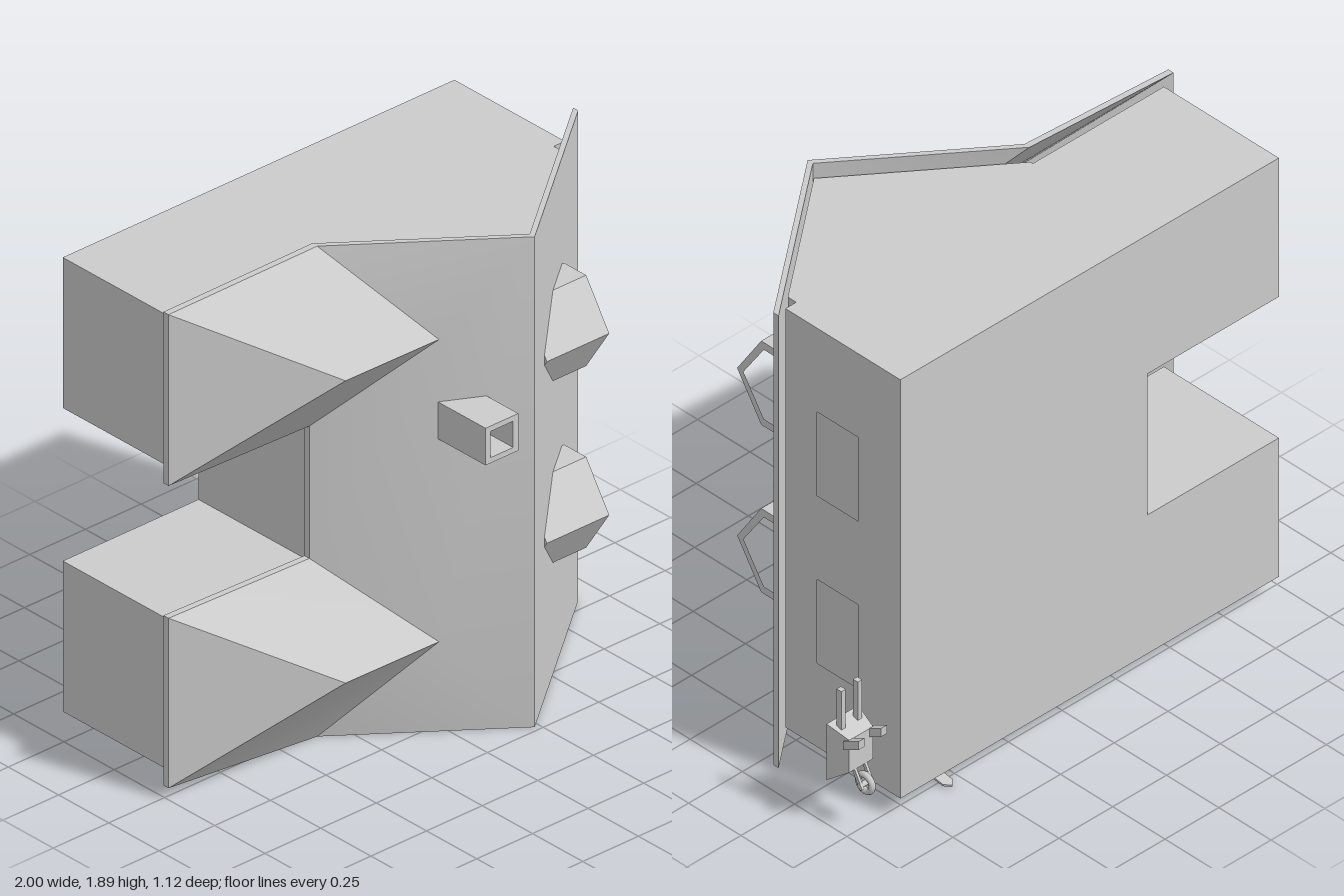
import * as THREE from 'three';
import { toCreasedNormals } from 'three/addons/utils/BufferGeometryUtils.js';

const material = new THREE.MeshStandardMaterial({ color: 0xcccccc });
const openMaterial = new THREE.MeshStandardMaterial({ color: 0xcccccc, side: THREE.DoubleSide });

function part(parent, name, geometry, mat = material) {
  const mesh = new THREE.Mesh(geometry, mat);
  mesh.name = name;
  parent.add(mesh);
  return mesh;
}

function box(x0, x1, y0, y1, z0, z1) {
  return new THREE.BoxGeometry(x1 - x0, y1 - y0, z1 - z0)
    .translate((x0 + x1) / 2, (y0 + y1) / 2, (z0 + z1) / 2);
}

// Extruded outline with holes, depth along +z
function prism(points, depth, holes = []) {
  const toVectors = (list) => list.map(([a, b]) => new THREE.Vector2(a, b));
  const shape = new THREE.Shape(toVectors(points));
  holes.forEach((h) => shape.holes.push(new THREE.Path(toVectors(h))));
  return new THREE.ExtrudeGeometry(shape, { depth, bevelEnabled: false });
}

const flip = (list) => list.map(([z, y]) => [-z, y]);

// Outline in (z, y) running from x0 to x1
const prismX = (points, x0, x1, holes = []) =>
  prism(flip(points), x1 - x0, holes.map(flip)).rotateY(Math.PI / 2).translate(x0, 0, 0);

// Outline in (x, z) running from y0 to y1
const prismY = (points, y0, y1) =>
  prism(points.map(([x, z]) => [x, -z]), y1 - y0).rotateX(-Math.PI / 2).translate(0, y0, 0);

const rect = (a0, a1, b0, b1) => [[a0, b0], [a1, b0], [a1, b1], [a0, b1]];

function roofGeometry() {
  const P = {
    E2: [0.9, 0, -0.045], E1: [0.9, 1.89, -0.045],      // right eave
    R1: [0.23, 1.89, 0.48], R2: [0.23, 0, 0.48],        // main ridge
    V1: [-0.35, 1.89, 0.04], V2: [-0.35, 0, 0.04],      // outer valley ends
    A1: [-1, 1.87, 0.02], B1: [-1, 1.21, 0.02],         // wing ends
    A2: [-1, 0.045, 0.02], B2: [-1, 0.7, 0.02],
    N1: [-0.385, 1.21, 0.04], N2: [-0.385, 0.7, 0.04],  // courtyard corners
    P1: [-0.06, 1.54, 0.325], P2: [-0.06, 0.375, 0.325],// wing ridges
    H1: [-0.475, 1.54, 0.32], H2: [-0.475, 0.375, 0.32],
  };
  const faces = [
    'E2 E1 R1 R2', 'R1 V1 P1', 'R2 P2 V2', 'R1 P1 P2 R2', 'P1 N1 N2 P2',
    'V1 A1 H1 P1', 'A1 B1 H1', 'B1 N1 P1 H1',
    'P2 N2 B2 H2', 'B2 A2 H2', 'A2 V2 P2 H2',
  ];
  const outline = 'E2 E1 R1 V1 A1 B1 N1 N2 B2 A2 V2 R2'.split(' ');
  const top = (k) => P[k];
  const under = (k) => [P[k][0], P[k][1], P[k][2] - 0.025];
  const positions = [];
  const fan = (c) => {
    for (let i = 1; i < c.length - 1; i++) positions.push(...c[0], ...c[i], ...c[i + 1]);
  };
  for (const face of faces) {
    const keys = face.split(' ');
    fan(keys.map(top));
    fan(keys.map(under).reverse());
  }
  outline.forEach((a, i) => {
    const b = outline[(i + 1) % outline.length];
    fan([top(a), under(a), under(b), top(b)]);
  });
  const g = new THREE.BufferGeometry();
  g.setAttribute('position', new THREE.Float32BufferAttribute(positions, 3));
  g.computeVertexNormals();
  return toCreasedNormals(g, 0.6);
}

function createWheelbarrow() {
  const barrow = new THREE.Group();
  barrow.name = 'wheelbarrow';

  // Open tub: box without its +z face, narrowing towards the floor
  const tub = box(-0.074, 0.074, 0.18, 0.415, -0.49, -0.4);
  tub.setIndex([...tub.index.array].filter((_, i) => i < 24 || i > 29));
  const pos = tub.attributes.position;
  for (let i = 0; i < pos.count; i++) {
    if (pos.getZ(i) < -0.45) {
      pos.setX(i, pos.getX(i) * 0.75);
      pos.setY(i, pos.getY(i) < 0.3 ? 0.25 : 0.385);
    }
  }
  tub.computeVertexNormals();
  part(barrow, 'tub', tub, openMaterial);

  for (const s of [-1, 1]) {
    part(barrow, 'handle', box(s * 0.038 - 0.01, s * 0.038 + 0.01, 0.39, 0.56, -0.445, -0.422));
    part(barrow, 'leg', prismX([[-0.47, 0.34], [-0.47, 0.375], [-0.545, 0.415], [-0.545, 0.38]],
      s * 0.052 - 0.014, s * 0.052 + 0.014));
    const fork = part(barrow, 'wheelFork', new THREE.BoxGeometry(0.01, 0.1, 0.014));
    fork.position.set(s * 0.024, 0.222, -0.495);
    fork.rotation.x = 0.5;
  }
  const wheel = part(barrow, 'wheel', new THREE.TorusGeometry(0.033, 0.012, 8, 16).rotateY(Math.PI / 2));
  wheel.position.set(0, 0.19, -0.51);
  const axle = part(barrow, 'axle', new THREE.CylinderGeometry(0.01, 0.01, 0.06, 8).rotateZ(Math.PI / 2));
  axle.position.copy(wheel.position);
  barrow.position.x = 0.924;
  return barrow;
}

function createShovel() {
  const shovel = new THREE.Group();
  shovel.name = 'shovel';
  part(shovel, 'shaft', box(-0.006, 0.006, -0.004, 0.004, -0.1, 0.18));
  part(shovel, 'blade', prismY([[-0.012, -0.08], [0.012, -0.08], [0.022, -0.1],
    [0.022, -0.155], [0, -0.178], [-0.022, -0.155], [-0.022, -0.1]], -0.004, 0.004));
  shovel.position.set(0.56, 0.03, -0.375);
  shovel.rotation.x = -0.135;
  return shovel;
}

export function createModel() {
  const house = new THREE.Group();
  house.name = 'house';

  // Walls: gabled main block and two wings around a courtyard
  part(house, 'mainBlock', prismY([[-0.35, -0.55], [0.75, -0.55], [0.75, 0.04],
    [0.23, 0.45], [-0.35, 0.012]], 0.08, 1.83));
  for (const [y0, y1] of [[0.08, 0.66], [1.25, 1.83]]) {
    part(house, 'wing', box(-0.96, -0.35, y0, y1, -0.55, 0));
  }

  // Side wall with recessed windows
  const windows = [0.43, 1.13].map((y) => rect(-0.35, -0.15, y, y + 0.35));
  part(house, 'windowWall', prismX(rect(-0.55, 0, 0.08, 1.83), 0.75, 0.8, windows));

  part(house, 'roof', roofGeometry());

  // Dormers on the long slope
  for (const y of [0.605, 1.305]) {
    const outer = [[0.15, y - 0.175], [0.26, y - 0.175], [0.375, y], [0.26, y + 0.175], [0.15, y + 0.175]];
    const inner = [[0.163, y - 0.145], [0.247, y - 0.145], [0.345, y], [0.247, y + 0.145], [0.163, y + 0.145]];
    part(house, 'dormer', prismX(outer, 0.38, 0.66, [inner]));
  }

  // Hollow chimney
  part(house, 'chimney', prism(rect(-0.063, 0.084, 1.157, 1.3), 0.34,
    [rect(-0.04, 0.061, 1.178, 1.279)]).translate(0, 0, 0.22));

  house.add(createWheelbarrow(), createShovel());
  return house;
}
